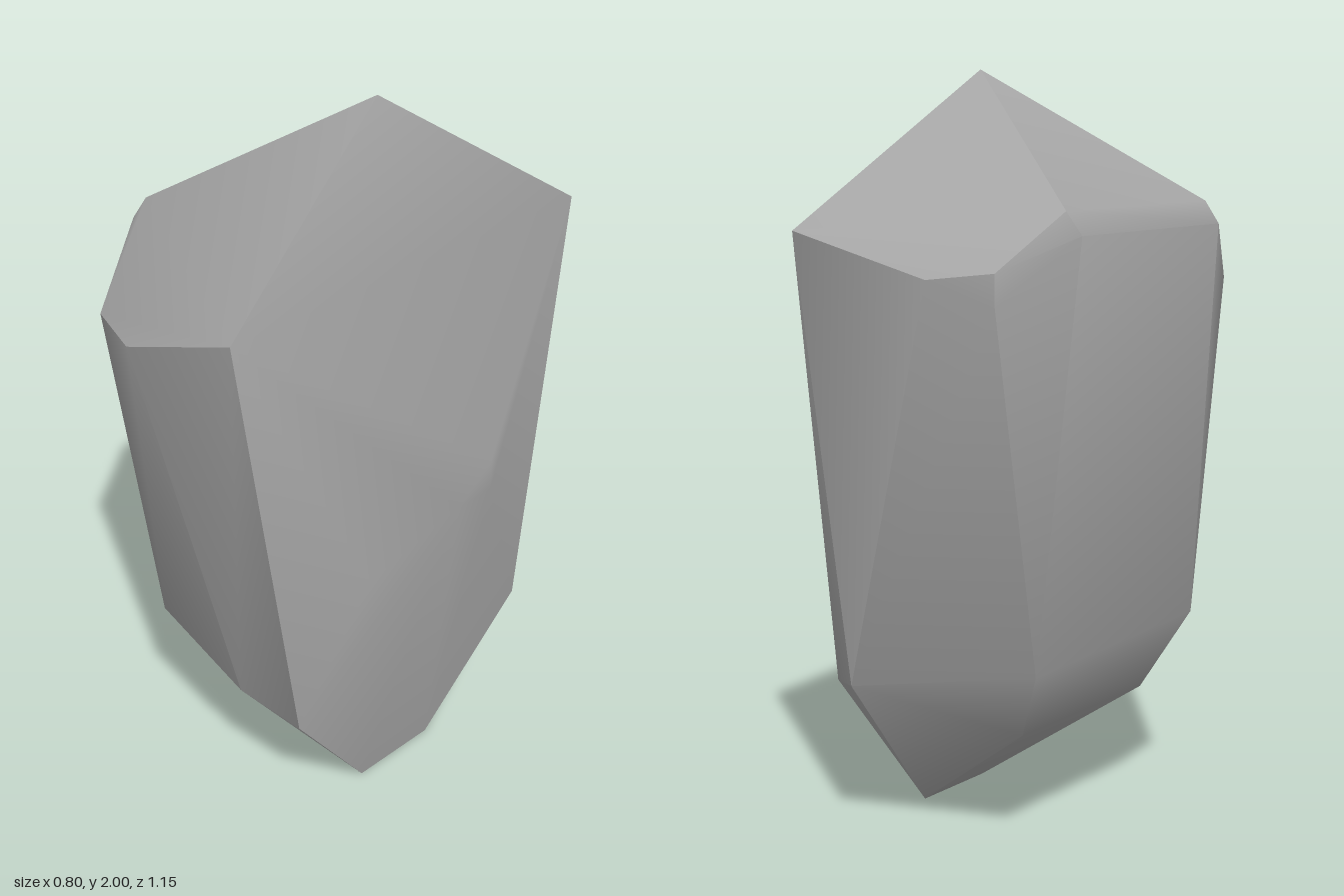
import * as THREE from 'three';
import { ConvexGeometry } from 'three/addons/geometries/ConvexGeometry.js';
import { toCreasedNormals } from 'three/addons/utils/BufferGeometryUtils.js';

export function createModel() {
  const stone = new THREE.MeshStandardMaterial({ color: 0xa6a6a6 });
  stone.name = 'grey stone';

  // Corners of the faceted boulder, from the peak down to the foot
  const corners = [
    // peak
    [0.13, 2, -0.02],
    // shoulder ring
    [0.25, 1.6, 0.57], [-0.13, 1.44, 0.575], [-0.3, 1.44, 0.52], [-0.4, 1.6, 0.32],
    [-0.37, 1.66, 0.3], [-0.37, 1.66, -0.335], [-0.4, 1.6, -0.31],
    [-0.3, 1.52, -0.525], [-0.3, 1.44, -0.525], [-0.13, 1.5, -0.575], [0.3, 1.6, -0.57],
    // bulge on the broad side
    [0.4, 1, -0.19], [0.4, 0.91, -0.19], [0.4, 0.91, -0.07], [0.365, 0.8, 0.22],
    // lower ring
    [0.315, 0.4, 0.43], [0.12, 0.43, 0.46], [-0.2, 0.52, 0.45], [-0.3, 0.52, 0.37],
    [-0.3, 0.5, -0.36], [0.18, 0.43, -0.51], [0.315, 0.4, -0.41],
    // undercut and foot
    [-0.2, 0.31, 0.27], [-0.2, 0.31, -0.28], [0.25, 0, 0.13], [0.25, 0, -0.13],
  ];

  // Convex shell; shallow bevels shade smoothly, strong ridges stay sharp
  const shell = new ConvexGeometry(corners.map((c) => new THREE.Vector3(...c)));
  const boulder = new THREE.Mesh(toCreasedNormals(shell, THREE.MathUtils.degToRad(35)), stone);
  boulder.name = 'boulder';

  const group = new THREE.Group();
  group.name = 'rock';
  group.add(boulder);
  return group;
}
